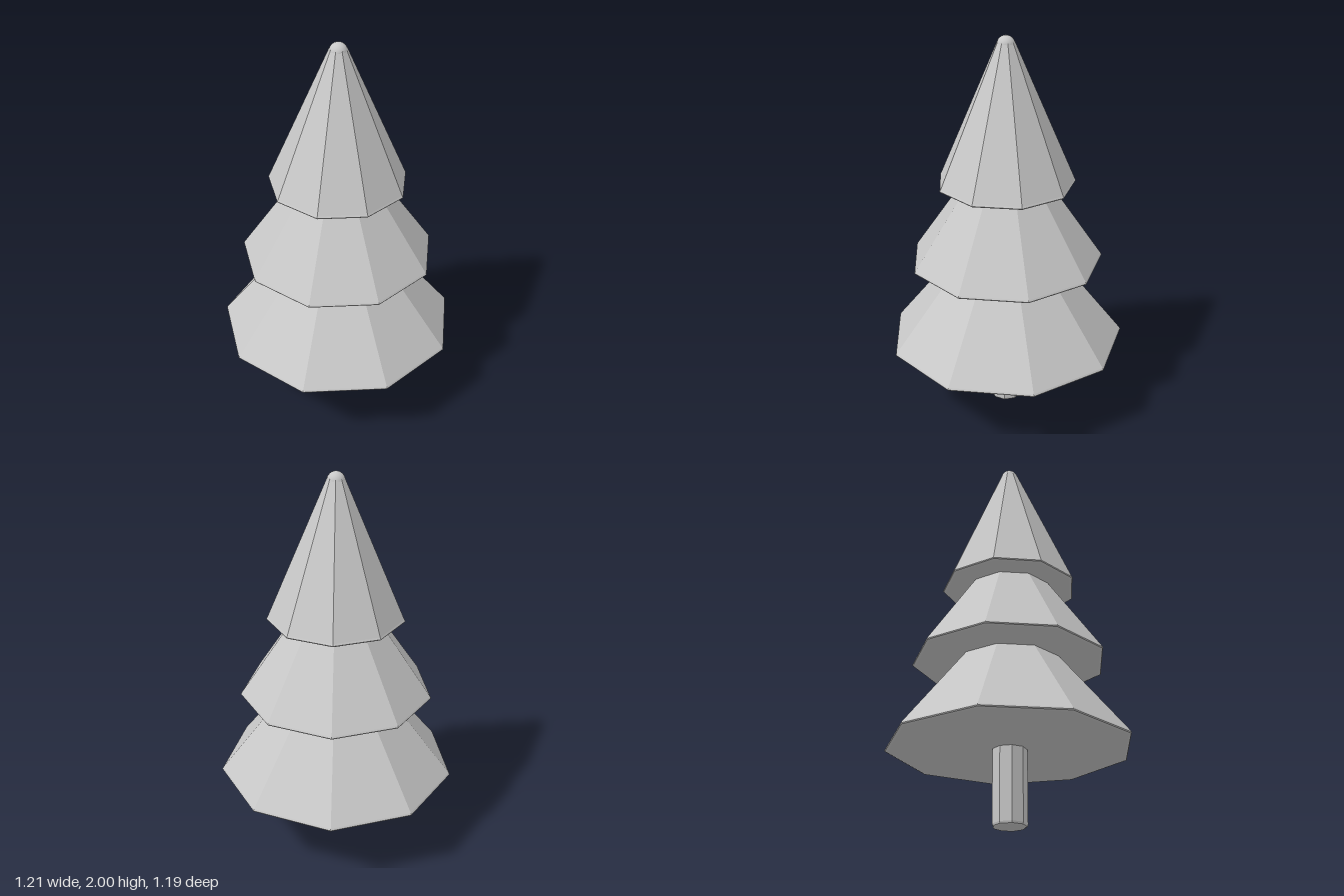
import * as THREE from 'three';

const SIDES = 9;
const CENTER_Z = 0.016;

// Faceted nine-sided solid of revolution; profile runs from the bottom centre upward
function faceted(name, profile, startAngle, material) {
  const points = profile.map(([r, y]) => new THREE.Vector2(r, y));
  const geometry = new THREE.LatheGeometry(points, SIDES, startAngle).toNonIndexed();
  geometry.computeVertexNormals();
  const mesh = new THREE.Mesh(geometry, material);
  mesh.name = name;
  mesh.position.z = CENTER_Z;
  return mesh;
}

export function createModel() {
  const grey = new THREE.MeshStandardMaterial({ color: 0xc8c8c8 });
  grey.name = 'light grey';
  const tree = new THREE.Group();
  tree.name = 'tree';

  // Trunk: a corner faces forward, lower rim slightly bevelled
  tree.add(faceted('trunk', [
    [0, 0], [0.076, 0], [0.084, 0.004], [0.087, 0.014], [0.087, 0.42], [0, 0.42],
  ], 0, grey));

  // Foliage tiers: a flat side faces forward, thin bevelled lower rim
  const tiers = [
    { name: 'lowerFoliage', r: 0.616, y: 0.38, topR: 0.04, topY: 1.12 },
    { name: 'middleFoliage', r: 0.496, y: 0.833, topR: 0.04, topY: 1.51 },
    { name: 'upperFoliage', r: 0.35, y: 1.253, topR: 0.043, topY: 1.97 },
  ];
  for (const { name, r, y, topR, topY } of tiers) {
    tree.add(faceted(name, [
      [0, y], [r - 0.015, y], [r - 0.003, y + 0.004], [r, y + 0.009],
      [r - 0.005, y + 0.018], [topR, topY], [0, topY],
    ], Math.PI, grey));
  }

  // Rounded tip
  const tip = new THREE.Mesh(new THREE.SphereGeometry(0.045, 18, 12), grey);
  tip.name = 'roundedTip';
  tip.position.set(0, 1.955, CENTER_Z);
  tree.add(tip);

  return tree;
}
